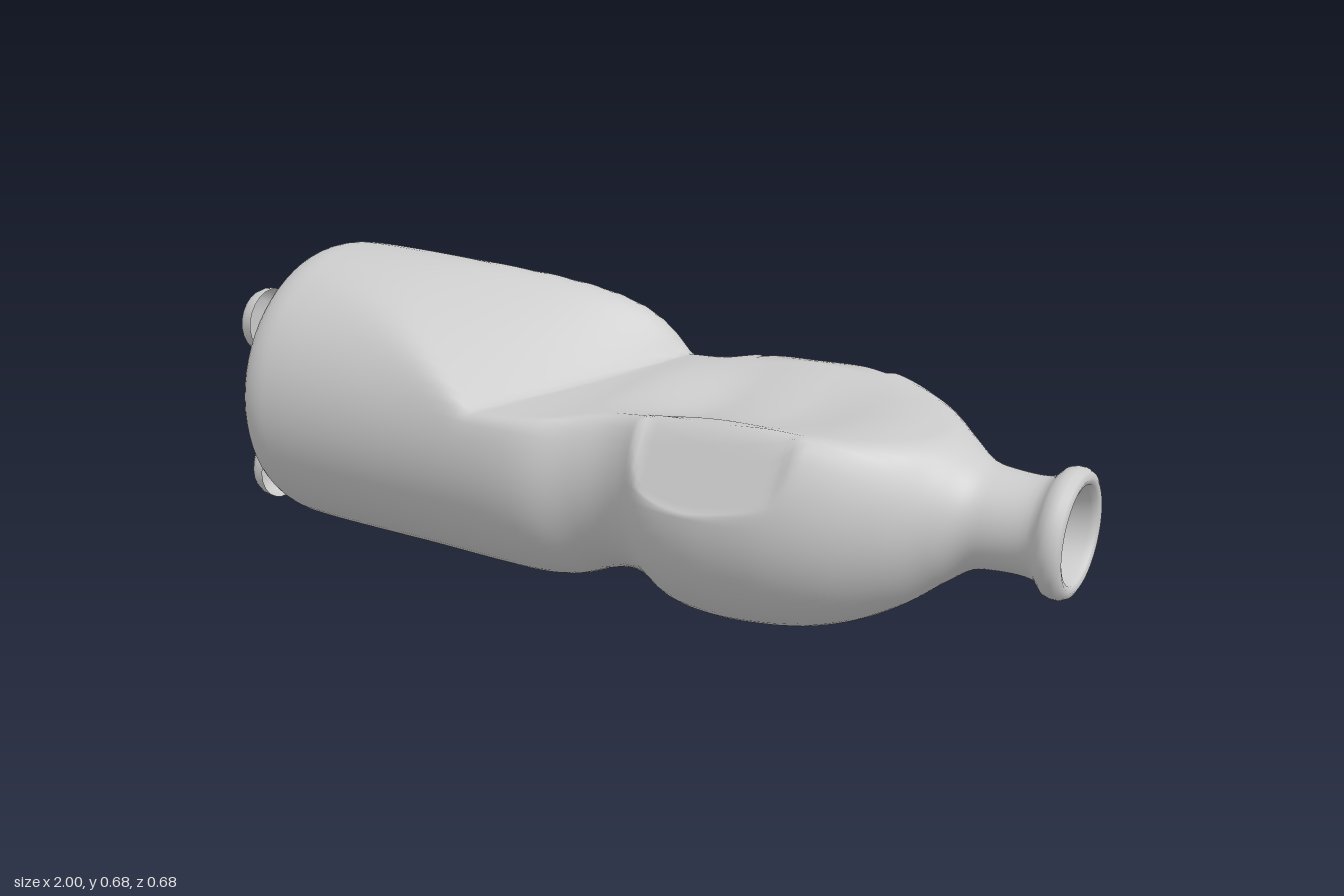
import * as THREE from 'three';
import { mergeVertices } from 'three/addons/utils/BufferGeometryUtils.js';

const AXIS_Y = 0.345;
const { smoothstep, lerp, clamp } = THREE.MathUtils;
const material = new THREE.MeshStandardMaterial({ color: 0xcccccc, side: THREE.DoubleSide });

// Smooth minimum: blends two surfaces with a rounded edge of size k
function softMin(a, b, k) {
  const h = Math.max(k - Math.abs(a - b), 0) / k;
  return Math.min(a, b) - h * h * k * 0.25;
}

// Bottle outline as [position along the axis, radius], from base to inner neck
const OUTLINE = [
  [-0.958, 0], [-0.958, 0.12], [-0.957, 0.25], [-0.95, 0.295], [-0.93, 0.32], [-0.89, 0.336],
  [-0.83, 0.341], [-0.5, 0.341], [-0.2, 0.339], [-0.13, 0.328], [-0.04, 0.294], [0.03, 0.283],
  [0.09, 0.294], [0.16, 0.327], [0.25, 0.338], [0.35, 0.332], [0.45, 0.315], [0.55, 0.28],
  [0.65, 0.222], [0.73, 0.158], [0.79, 0.116], [0.84, 0.107], [0.91, 0.106], [0.935, 0.114],
  [0.95, 0.132], [0.97, 0.138], [0.99, 0.134], [1, 0.12], [0.997, 0.106], [0.98, 0.102],
  [0.9, 0.097], [0.78, 0.097],
];

// Height of the crushed top along the neck half (relative to the axis)
const crushLine = new THREE.CatmullRomCurve3(
  [[-0.3, 0.115], [-0.1, 0.127], [0.1, 0.16], [0.3, 0.187], [0.5, 0.185], [0.7, 0.163], [0.9, 0.16]]
    .map(([x, y]) => new THREE.Vector3(x, y, 0)));
const crushTable = crushLine.getPoints(60);
function crushHeight(x) {
  const i = crushTable.findIndex((p) => p.x >= x);
  if (i <= 0) return i === 0 ? crushTable[0].y : 0.16;
  const a = crushTable[i - 1], b = crushTable[i];
  return lerp(a.y, b.y, (x - a.x) / (b.x - a.x));
}

// Ceiling pressed into the bottle: a slanted ramp, then a hollow between two ridges
function ceiling(x, z) {
  const valley = -0.16 - 0.4 * z;
  const d = Math.max(valley - x, 0);
  const spread = clamp(0.26 + 0.45 * z, 0.14, 0.4);
  const ramp = 0.25 * (1 - Math.exp(-d / spread));
  const along = smoothstep(x, -0.05, 0.2) * (1 - smoothstep(x, 0.35, 0.65));
  const hollow = 0.045 * along * Math.max(0, 1 - (z / 0.23) ** 2);
  return crushHeight(Math.max(x, valley)) + ramp - hollow;
}

// Sloping sides under the ridges
function sideSlope(x, z) {
  const amount = smoothstep(x, -0.05, 0.15) * (1 - smoothstep(x, 0.45, 0.7));
  return lerp(0.6, (0.337 - Math.abs(z)) * 1.85, amount);
}

function makeBottle() {
  const curve = new THREE.CatmullRomCurve3(
    OUTLINE.map(([x, r]) => new THREE.Vector3(r, x, 0)), false, 'centripetal');
  curve.arcLengthDivisions = 1000;
  const profile = curve.getSpacedPoints(180).map((p) => new THREE.Vector2(Math.max(p.x, 0), p.y));
  let geometry = new THREE.LatheGeometry(profile, 64);
  geometry.rotateZ(-Math.PI / 2);
  const pos = geometry.attributes.position;
  for (let i = 0; i < pos.count; i++) {
    const x = pos.getX(i), y = pos.getY(i), z = pos.getZ(i);
    if (y <= 0 || x > 0.82 || x < -0.93) continue;
    const pressed = softMin(softMin(y, ceiling(x, z), 0.03), Math.max(sideSlope(x, z), 0), 0.02);
    const fade = smoothstep(y, 0, 0.05) * smoothstep(x, -0.93, -0.8) * (1 - smoothstep(x, 0.74, 0.82));
    pos.setY(i, lerp(y, pressed, fade));
  }
  geometry.deleteAttribute('normal');
  geometry.deleteAttribute('uv');
  geometry = mergeVertices(geometry, 1e-5);
  geometry.computeVertexNormals();
  const mesh = new THREE.Mesh(geometry, material);
  mesh.name = 'crushedBottle';
  return mesh;
}

// Rounded pad, narrower towards the middle of the base
function makeFootGeometry() {
  const profile = [[1, -0.01], [0.99, 0.01], [0.93, 0.024], [0.82, 0.035], [0.66, 0.041], [0.4, 0.042], [0, 0.042]]
    .map(([r, h]) => new THREE.Vector2(r, h));
  const geometry = new THREE.LatheGeometry(profile, 28);
  geometry.rotateZ(Math.PI / 2); // the pad now points along -x
  const pos = geometry.attributes.position;
  for (let i = 0; i < pos.count; i++) {
    const y = pos.getY(i);
    pos.setY(i, y * 0.115);
    pos.setZ(i, pos.getZ(i) * (0.078 + 0.018 * y));
  }
  geometry.computeVertexNormals();
  return geometry;
}

export function createModel() {
  const model = new THREE.Group();
  model.name = 'bottle';
  const bottle = makeBottle();
  bottle.position.y = AXIS_Y;
  model.add(bottle);

  // Four feet on the diagonals of the base
  const footGeometry = makeFootGeometry();
  for (let i = 0; i < 4; i++) {
    const angle = Math.PI / 4 + (i * Math.PI) / 2;
    const foot = new THREE.Mesh(footGeometry, material);
    foot.name = 'baseFoot' + (i + 1);
    foot.rotation.x = angle;
    foot.position.set(-0.958, AXIS_Y + 0.225 * Math.cos(angle), 0.225 * Math.sin(angle));
    model.add(foot);
  }
  return model;
}
